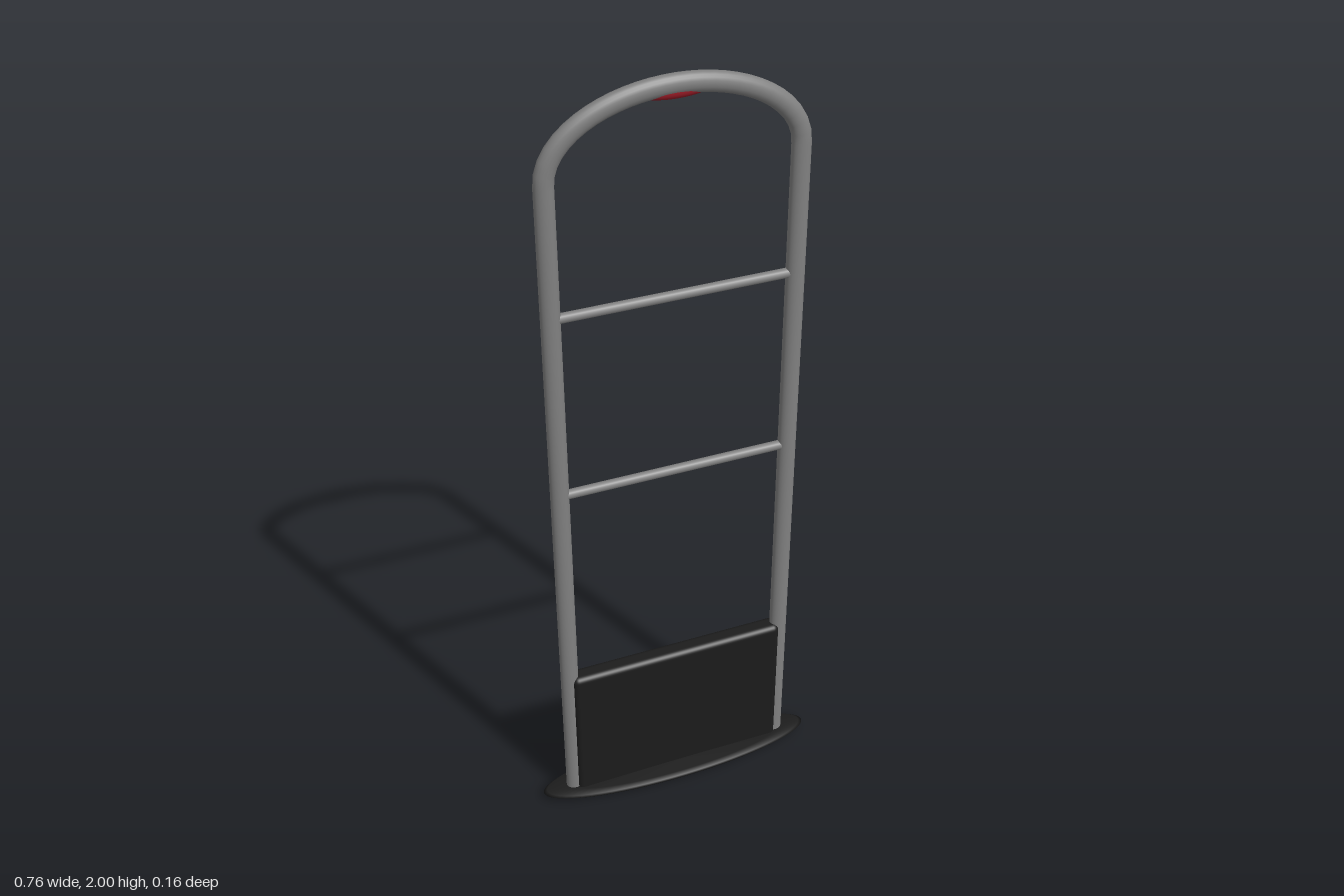
import * as THREE from 'three';
import { RoundedBoxGeometry } from 'three/addons/geometries/RoundedBoxGeometry.js';

const metal = new THREE.MeshStandardMaterial({ color: 0x808080 });
const black = new THREE.MeshStandardMaterial({ color: 0x1c1c1c });
const red = new THREE.MeshStandardMaterial({ color: 0xa01c28 });

export function createModel() {
  const model = new THREE.Group();
  const add = (name, geometry, material, x = 0, y = 0, z = 0) => {
    const mesh = new THREE.Mesh(geometry, material);
    mesh.name = name;
    mesh.position.set(x, y, z);
    model.add(mesh);
    return mesh;
  };

  // Bent frame tube: two legs joined by a half-ellipse arch, flattened in z
  const halfWidth = 0.292, spring = 1.8, rise = 0.177, radius = 0.023;
  const path = new THREE.CurvePath();
  const arch = [];
  for (let i = 0; i <= 24; i++) {
    const a = (Math.PI * i) / 24;
    arch.push(new THREE.Vector3(halfWidth * Math.cos(a), spring + rise * Math.sin(a), 0));
  }
  path.add(new THREE.LineCurve3(new THREE.Vector3(halfWidth, 0.015, 0), arch[0]));
  path.add(new THREE.CatmullRomCurve3(arch));
  path.add(new THREE.LineCurve3(arch[24], new THREE.Vector3(-halfWidth, 0.015, 0)));
  const frame = new THREE.TubeGeometry(path, 160, radius, 20);
  frame.scale(1, 1, 0.8);
  add('frameTube', frame, metal);

  // Horizontal rails between the legs
  for (const y of [1.0, 1.48]) {
    const rail = new THREE.CylinderGeometry(0.012, 0.012, 2 * halfWidth - 0.02, 16);
    rail.rotateZ(Math.PI / 2);
    add('crossRail', rail, metal, 0, y, 0);
  }

  // Lower panel between the legs
  add('lowerPanel', new RoundedBoxGeometry(0.576, 0.41, 0.052, 4, 0.016), black, 0, 0.215, 0);

  // Thin lens-shaped oval foot
  const profile = [[0, 0], [0.2, 0.002], [0.31, 0.007], [0.365, 0.013], [0.38, 0.019],
    [0.37, 0.024], [0.31, 0.027], [0, 0.031]].map(([x, y]) => new THREE.Vector2(x, y));
  const foot = new THREE.LatheGeometry(profile, 64);
  foot.scale(1, 1, 0.08 / 0.38);
  add('ovalFoot', foot, black);

  // Alarm lamp under the crown of the arch
  const lamp = new THREE.SphereGeometry(1, 28, 16);
  lamp.scale(0.085, 0.02, 0.015);
  add('alarmLamp', lamp, red, 0, 1.965, 0);

  return model;
}
